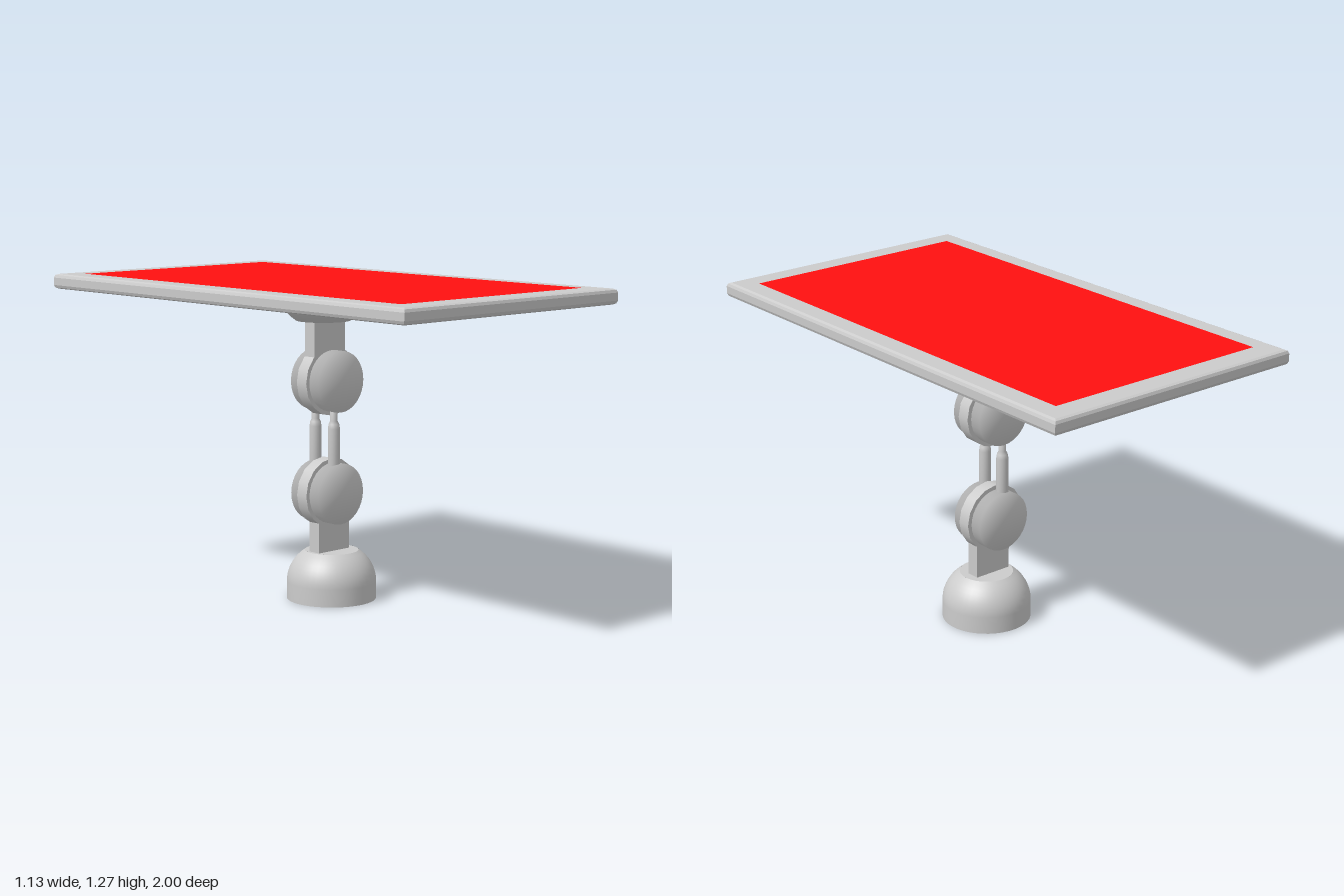
import * as THREE from 'three';
import { mergeVertices } from 'three/addons/utils/BufferGeometryUtils.js';

const grey = new THREE.MeshStandardMaterial({ color: 0xcccccc });
const greyDouble = new THREE.MeshStandardMaterial({ color: 0xcccccc, side: THREE.DoubleSide });
const red = new THREE.MeshStandardMaterial({ color: 0xff1010 });

const MID_Z = 0.003;   // depth of the arm's centre plane
const KNUCKLE_X = 0.016;

export function createModel() {
  const model = new THREE.Group();

  function add(name, geometry, x, y, z, material = grey) {
    const mesh = new THREE.Mesh(geometry, material);
    mesh.name = name;
    mesh.position.set(x, y, z);
    model.add(mesh);
    return mesh;
  }

  // Weld a geometry so its shading rolls softly over the edges
  function soften(geometry) {
    geometry.deleteAttribute('uv');
    geometry.deleteAttribute('normal');
    const welded = mergeVertices(geometry, 1e-4);
    welded.computeVertexNormals();
    return welded;
  }

  // Disc whose axis runs along z
  function disc(radius, depth, sides) {
    return new THREE.CylinderGeometry(radius, radius, depth, sides).rotateX(Math.PI / 2);
  }

  // Truncated dome profile, from the wide rim up to the flat end
  function domeProfile(startAngle) {
    const points = [];
    const end = THREE.MathUtils.degToRad(53);
    for (let i = 0; i <= 8; i++) {
      const a = startAngle + (end - startAngle) * i / 8;
      points.push(new THREE.Vector2(0.178 * Math.cos(a), 0.07 + 0.156 * Math.sin(a)));
    }
    return points;
  }

  // Hollow base: short upright wall, dome, flat lid
  const baseProfile = [new THREE.Vector2(0.178, 0), ...domeProfile(0)];
  add('base', new THREE.LatheGeometry(baseProfile, 40), 0.036, 0, 0.006, greyDouble);
  add('baseLid', new THREE.CircleGeometry(0.107, 40).rotateX(-Math.PI / 2), 0.036, 0.1946, 0.006, greyDouble);

  // Inverted dome under the panel
  const mountProfile = domeProfile(0.2);
  add('panelMount', new THREE.LatheGeometry(mountProfile, 40).rotateX(Math.PI), -0.006, 1.307, MID_Z, greyDouble);
  add('panelMountLid', new THREE.CircleGeometry(0.107, 40).rotateX(Math.PI / 2), -0.006, 1.1124, MID_Z, greyDouble);

  // Flat necks, each running into the centre of its knuckle
  add('lowerNeck', new THREE.BoxGeometry(0.164, 0.24, 0.054), 0.027, 0.31, MID_Z);
  add('upperNeck', new THREE.BoxGeometry(0.164, 0.24, 0.054), 0.003, 0.996, MID_Z);

  // Knuckles: a faceted middle plate between two round cheeks
  for (const [level, y] of [['lower', 0.43], ['upper', 0.875]]) {
    add(level + 'KnucklePlate', disc(0.138, 0.054, 16), KNUCKLE_X, y, MID_Z);
    for (const side of [1, -1]) {
      add(level + 'KnuckleCheek', soften(disc(0.121, 0.051, 32)), KNUCKLE_X, y, MID_Z - 0.001 + side * 0.053);
    }
  }

  // Twin link rods with tapered tips and thin pins
  const rodProfile = [[0, 0.47], [0.024, 0.47], [0.024, 0.69], [0.021, 0.708], [0.015, 0.72], [0.015, 0.78], [0, 0.78]]
    .map(([r, y]) => new THREE.Vector2(r, y));
  for (const side of [1, -1]) {
    add('linkRod', new THREE.LatheGeometry(rodProfile, 20), 0.002, 0, MID_Z - 0.001 + side * 0.053);
  }

  // Panel with a small rounded bevel all round
  const bevel = 0.015;
  const w = 0.565 - bevel, l = 1 - bevel;
  const outline = new THREE.Shape([[-w, -l], [w, -l], [w, l], [-w, l]].map(([x, y]) => new THREE.Vector2(x, y)));
  const slab = new THREE.ExtrudeGeometry(outline, {
    depth: 0.03, bevelEnabled: true, bevelThickness: bevel, bevelSize: bevel, bevelSegments: 2,
  }).rotateX(-Math.PI / 2);
  add('panel', slab, 0, 1.205 + bevel, 0);

  // Coloured inlay on the panel's top
  add('panelInlay', new THREE.PlaneGeometry(0.955, 1.8).rotateX(-Math.PI / 2), -0.002, 1.2665, 0, red);

  return model;
}
